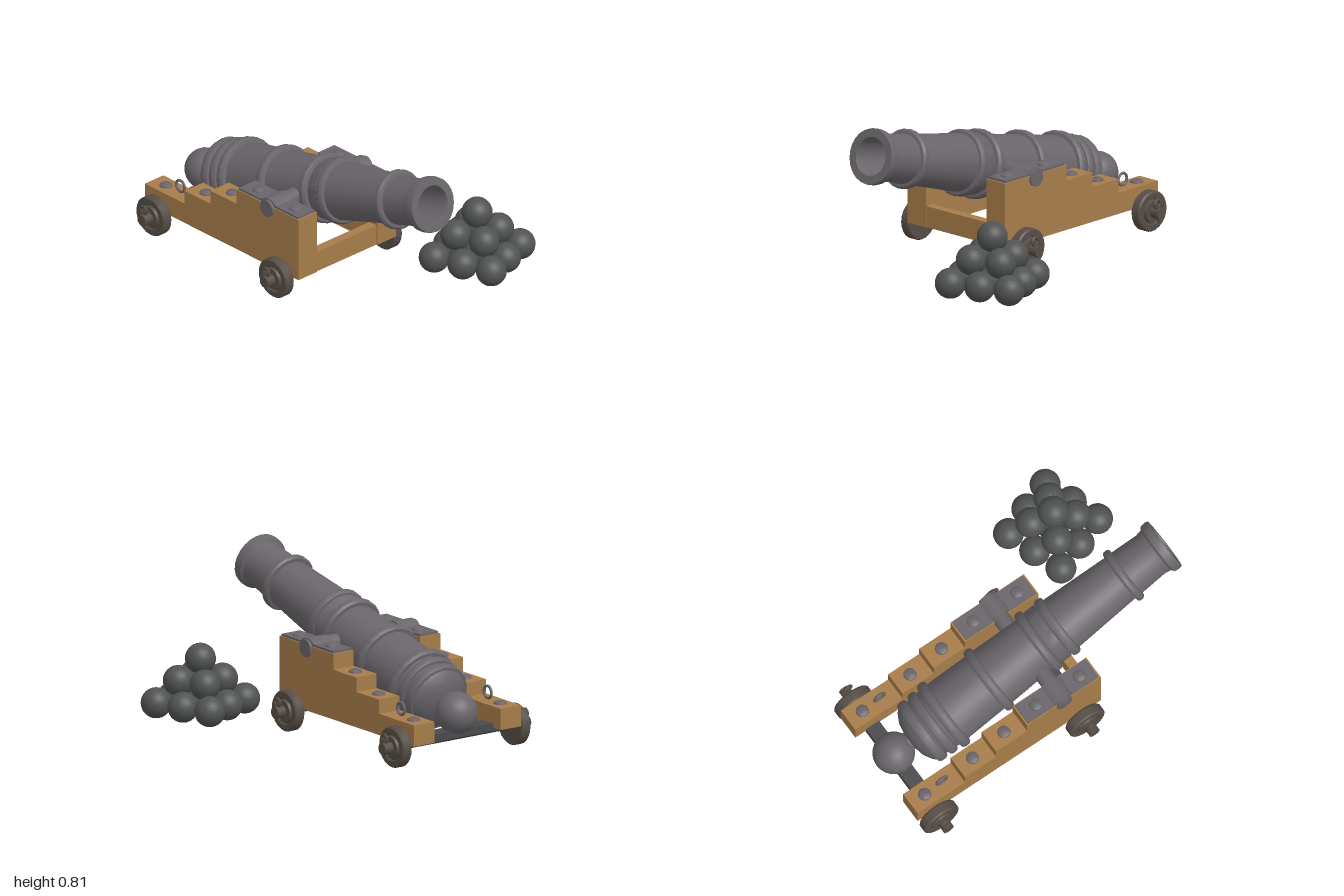
import * as THREE from 'three';
import { toCreasedNormals } from 'three/addons/utils/BufferGeometryUtils.js';

const mat = (color, side = THREE.FrontSide) => new THREE.MeshStandardMaterial({ color, side });
const iron = mat(0x69656a), wood = mat(0xa67c4a), wheelMat = mat(0x564d46);
const darkIron = mat(0x4a4a4c), shotMat = mat(0x505253);

function add(parent, name, geometry, material, x = 0, y = 0, z = 0) {
  const mesh = new THREE.Mesh(geometry, material);
  mesh.name = name;
  mesh.position.set(x, y, z);
  parent.add(mesh);
  return mesh;
}

const lathe = (points, segments) => toCreasedNormals(
  new THREE.LatheGeometry(points.map(([r, y]) => new THREE.Vector2(r, y)), segments), 0.6);

// Rounded reinforcing ring as profile points at position t along the barrel
const ring = (t, inner, outer, half) => [
  [inner, t - half], [(inner + outer * 2) / 3, t - half * 0.9], [outer, t - half * 0.4],
  [outer, t + half * 0.4], [(inner + outer * 2) / 3, t + half * 0.9], [inner, t + half]];

function createBarrel() {
  const barrel = new THREE.Group();
  barrel.name = 'barrel';
  const profile = [
    [0, -0.78], [0.05, -0.78], [0.05, -0.735], [0.1, -0.725], [0.145, -0.7],
    ...ring(-0.655, 0.16, 0.18, 0.028),
    ...ring(-0.59, 0.165, 0.185, 0.025),
    ...ring(-0.52, 0.17, 0.196, 0.027),
    ...ring(-0.234, 0.163, 0.187, 0.025),
    ...ring(0.08, 0.152, 0.178, 0.025),
    [0.158, 0.115], [0.158, 0.17],
    ...ring(0.2, 0.148, 0.17, 0.025),
    ...ring(0.62, 0.127, 0.152, 0.022),
    [0.119, 0.79], [0.125, 0.825], [0.141, 0.835], [0.144, 0.86], [0.141, 0.88],
    [0.099, 0.88], [0.093, 0.86], [0.093, 0.2], [0, 0.2]];
  add(barrel, 'tube', lathe(profile, 24), iron);
  add(barrel, 'cascabelBall', new THREE.SphereGeometry(0.107, 24, 16), iron, 0, -0.836, 0);
  const trunnion = add(barrel, 'trunnions', new THREE.CylinderGeometry(0.045, 0.045, 0.69, 20), iron, 0, 0, 0);
  trunnion.rotation.x = Math.PI / 2;
  barrel.position.set(0.336, 0.443, 0);
  barrel.rotation.z = -Math.PI / 2 + 0.262;
  return barrel;
}

// Wheel with raised rim, hub and linchpin; axis along z, outside towards +z
function createWheel() {
  const wheel = new THREE.Group();
  wheel.name = 'wheel';
  const disc = add(wheel, 'disc', lathe([
    [0, -0.028], [0.098, -0.028], [0.105, -0.02], [0.105, 0.02], [0.098, 0.028],
    [0.07, 0.028], [0.066, 0.02], [0.06, 0.02], [0.056, 0.034], [0, 0.034]], 24), wheelMat);
  const hub = add(wheel, 'hub', new THREE.CylinderGeometry(0.03, 0.03, 0.07, 16), wheelMat, 0, 0, 0.05);
  disc.rotation.x = hub.rotation.x = Math.PI / 2;
  const pin = new THREE.Group();
  pin.name = 'linchpin';
  add(pin, 'pinShaft', new THREE.CylinderGeometry(0.009, 0.009, 0.1, 8), wheelMat);
  add(pin, 'pinEye', new THREE.TorusGeometry(0.02, 0.008, 8, 16), wheelMat, 0, 0.05, 0);
  pin.position.set(0, 0, 0.062);
  pin.rotation.z = 0.15;
  wheel.add(pin);
  return wheel;
}

// Stepped side plank with its ironwork, for side = +1 or -1
function createCheek(side) {
  const cheek = new THREE.Group();
  cheek.name = side > 0 ? 'leftCheek' : 'rightCheek';
  const z = side * 0.2715;
  const outline = [[-0.56, 0.12], [0.56, 0.12], [0.56, 0.46], [0.11, 0.46], [0.11, 0.378],
    [-0.08, 0.378], [-0.08, 0.303], [-0.27, 0.303], [-0.27, 0.23], [-0.56, 0.23]];
  const shape = new THREE.Shape(outline.map(([x, y]) => new THREE.Vector2(x, y)));
  add(cheek, 'plank', new THREE.ExtrudeGeometry(shape, { depth: 0.127, bevelEnabled: false }),
    wood, 0, 0, z - 0.0635);

  // Cap plate over the trunnion
  const cap = new THREE.Shape();
  cap.moveTo(0.12, 0.46);
  cap.lineTo(0.55, 0.46);
  cap.lineTo(0.55, 0.471);
  cap.lineTo(0.39, 0.471);
  cap.quadraticCurveTo(0.336, 0.516, 0.282, 0.471);
  cap.lineTo(0.12, 0.471);
  add(cheek, 'capPlate', new THREE.ExtrudeGeometry(cap, { depth: 0.115, bevelEnabled: false, curveSegments: 8 }),
    iron, 0, 0, z - 0.0575);

  // Bolt heads on each step
  const dome = lathe([[0.034, 0], [0.032, 0.007], [0.022, 0.013], [0, 0.015]], 16);
  for (const [x, y] of [[-0.472, 0.23], [-0.18, 0.303], [0.012, 0.378], [0.207, 0.471], [0.474, 0.471]])
    add(cheek, 'boltHead', dome, iron, x, y, z);

  // Ring for the tackle
  add(cheek, 'tackleRing', new THREE.TorusGeometry(0.031, 0.007, 8, 20), iron, -0.368, 0.268, z);
  return cheek;
}

function createCarriage() {
  const carriage = new THREE.Group();
  carriage.name = 'carriage';
  for (const side of [1, -1]) carriage.add(createCheek(side));
  add(carriage, 'frontTransom', new THREE.BoxGeometry(0.05, 0.11, 0.42), wood, 0.53, 0.175, 0);
  for (const x of [-0.455, 0.438]) {
    add(carriage, 'axleBeam', new THREE.BoxGeometry(0.08, 0.04, 0.67), darkIron, x, 0.122, 0);
    const arm = add(carriage, 'axleArm', new THREE.CylinderGeometry(0.034, 0.034, 0.76, 16), darkIron, x, 0.105, 0);
    arm.rotation.x = Math.PI / 2;
    arm.scale.set(1, 1, 0.6);
    for (const side of [1, -1]) {
      const wheel = createWheel();
      wheel.position.set(x, 0.105, side * 0.372);
      if (side < 0) wheel.rotation.y = Math.PI;
      carriage.add(wheel);
    }
  }
  return carriage;
}

// Pyramid of round shot: 3x3, 2x2, 1
function createShotPile() {
  const pile = new THREE.Group();
  pile.name = 'shotPile';
  const ball = new THREE.SphereGeometry(0.078, 24, 16), gap = 0.16;
  for (let layer = 0; layer < 3; layer++) {
    const n = 3 - layer;
    for (let i = 0; i < n; i++)
      for (let j = 0; j < n; j++)
        add(pile, 'roundShot', ball, shotMat,
          (i - (n - 1) / 2) * gap, 0.09 + layer * 0.109, (j - (n - 1) / 2) * gap);
  }
  pile.position.set(0.743, 0, -0.102);
  pile.rotation.y = -0.148;
  return pile;
}

export function createModel() {
  const model = new THREE.Group();
  model.name = 'cannonWithShot';
  const gun = new THREE.Group();
  gun.name = 'cannon';
  gun.add(createCarriage(), createBarrel());
  gun.position.set(-0.3235, 0, -0.0305);
  gun.rotation.y = -0.496;
  model.add(gun, createShotPile());
  return model;
}
